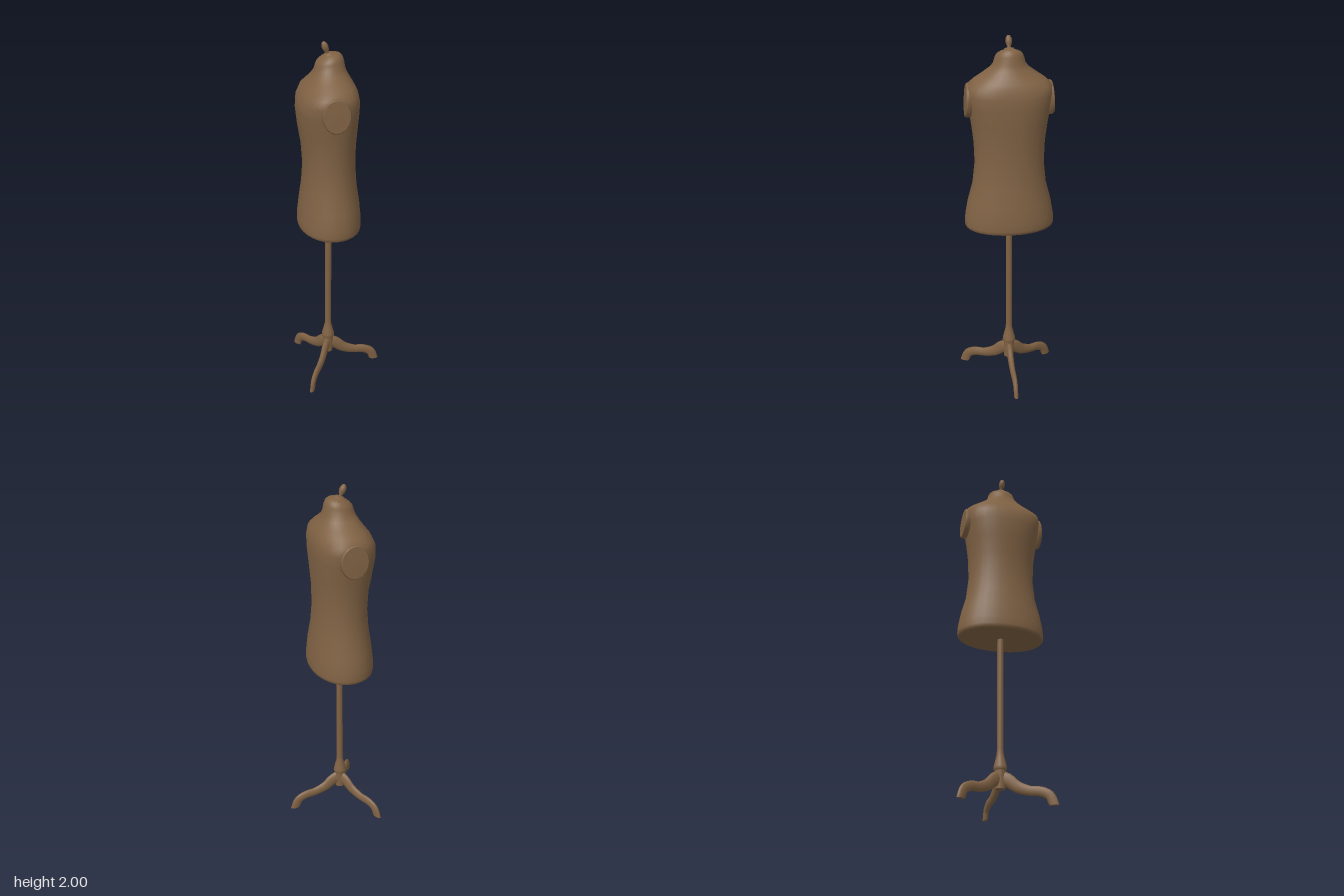
import * as THREE from 'three';

// Closed skin over a list of rings; each ring is an array of Vector3, ends are capped flat.
function loft(rings) {
  const n = rings[0].length, pos = [], index = [];
  rings.forEach(r => r.forEach(p => pos.push(p.x, p.y, p.z)));
  for (let i = 0; i < rings.length - 1; i++) {
    for (let j = 0; j < n; j++) {
      const k = (j + 1) % n, a = i * n + j, b = i * n + k;
      index.push(a, b, b + n, a, b + n, a + n);
    }
  }
  const cap = (ring, flip) => {
    const base = pos.length / 3, c = new THREE.Vector3();
    ring.forEach(p => { pos.push(p.x, p.y, p.z); c.addScaledVector(p, 1 / n); });
    pos.push(c.x, c.y, c.z);
    for (let j = 0; j < n; j++) {
      const k = (j + 1) % n;
      if (flip) index.push(base + n, base + k, base + j);
      else index.push(base + n, base + j, base + k);
    }
  };
  cap(rings[0], true);
  cap(rings[rings.length - 1], false);
  const g = new THREE.BufferGeometry();
  g.setAttribute('position', new THREE.Float32BufferAttribute(pos, 3));
  g.setIndex(index);
  g.computeVertexNormals();
  return g;
}

// Horizontal superellipse ring with its own front and back depth; tilt lowers the front.
function bodyRing([y, halfWidth, front, back, power = 2.1, tilt = 0]) {
  const ring = [], n = 32, e = 2 / power;
  for (let j = 0; j < n; j++) {
    const t = j / n * Math.PI * 2, s = Math.sin(t), c = Math.cos(t);
    const z = Math.sign(c) * Math.abs(c) ** e * (c > 0 ? front : back);
    ring.push(new THREE.Vector3(Math.sign(s) * Math.abs(s) ** e * halfWidth, y - tilt * z, z));
  }
  return ring;
}

// Curved leg running out along +z, with an oval section that thins toward the foot.
function legGeometry() {
  const path = new THREE.CatmullRomCurve3([
    [0, 0.158], [0.04, 0.147], [0.09, 0.108], [0.157, 0.083],
    [0.215, 0.076], [0.262, 0.052], [0.285, 0]
  ].map(([z, y]) => new THREE.Vector3(0, y, z)));
  const steps = 18, rings = [];
  for (let i = 0; i <= steps; i++) {
    const u = i / steps, p = path.getPoint(u);
    const t = i === steps ? new THREE.Vector3(0, -1, 0) : path.getTangent(u);
    const h = THREE.MathUtils.lerp(0.043, 0.027, Math.min(1, u * 2));
    const w = THREE.MathUtils.lerp(0.02, 0.012, u);
    const ring = [];
    for (let j = 0; j < 10; j++) {
      const a = j / 10 * Math.PI * 2, s = Math.sin(a) * h;
      ring.push(new THREE.Vector3(Math.cos(a) * w, Math.max(0, p.y + t.z * s), p.z - t.y * s));
    }
    rings.push(ring);
  }
  return loft(rings);
}

const lathe = (points, sides) =>
  new THREE.LatheGeometry(points.map(([r, y]) => new THREE.Vector2(r, y)), sides);

export function createModel() {
  const model = new THREE.Group();
  model.name = 'dressForm';
  const brown = new THREE.MeshStandardMaterial({ color: 0x806244 });
  brown.name = 'brown';

  // The form stands turned on its pole
  const stand = new THREE.Group();
  stand.name = 'turnedForm';
  stand.position.set(0.025, 0, -0.041);
  stand.rotation.y = THREE.MathUtils.degToRad(-48);
  model.add(stand);

  const add = (name, geometry, parent = stand) => {
    const mesh = new THREE.Mesh(geometry, brown);
    mesh.name = name;
    parent.add(mesh);
    return mesh;
  };

  // Torso and neck: height, half width, front depth, back depth, squareness, tilt
  add('torso', loft([
    [0.953, 0.234, 0.163, 0.163],
    [0.96, 0.242, 0.171, 0.171],
    [0.975, 0.245, 0.174, 0.174],
    [1.02, 0.242, 0.172, 0.173],
    [1.1, 0.227, 0.163, 0.165],
    [1.2, 0.2, 0.15, 0.15],
    [1.32, 0.187, 0.142, 0.14],
    [1.44, 0.191, 0.15, 0.141],
    [1.54, 0.203, 0.167, 0.147, 2.2],
    [1.64, 0.218, 0.177, 0.152, 2.4],
    [1.7, 0.225, 0.171, 0.151, 2.5],
    [1.745, 0.224, 0.15, 0.142, 2.4],
    [1.775, 0.192, 0.127, 0.128, 2.2],
    [1.805, 0.148, 0.106, 0.11],
    [1.835, 0.106, 0.088, 0.092],
    [1.86, 0.085, 0.08, 0.082, 2, 0.05],
    [1.89, 0.077, 0.074, 0.076, 2, 0.15],
    [1.908, 0.069, 0.067, 0.067, 2, 0.22],
    [1.92, 0.056, 0.054, 0.054, 2, 0.25]
  ].map(bodyRing)));

  // Flat oval armhole plates
  for (const side of [-1, 1]) {
    const plate = add(side > 0 ? 'leftArmPlate' : 'rightArmPlate',
      lathe([[0, -0.025], [1, -0.025], [1, 0.008], [0.94, 0.014], [0.94, 0.014], [0, 0.016]], 24));
    plate.scale.set(0.092, 1, 0.075);
    plate.rotation.z = -side * (Math.PI / 2 - 0.06);
    plate.position.set(side * 0.217, 1.667, 0.005);
  }

  // Neck cap and finial, leaning forward
  const top = new THREE.Group();
  top.name = 'neckTop';
  top.position.y = 1.918;
  top.rotation.x = 0.25;
  stand.add(top);
  add('neckCap', lathe([[0.054, -0.004], [0.05, 0.005], [0.035, 0.01], [0.028, 0.011],
    [0.024, 0.018], [0.012, 0.021], [0, 0.021]], 24), top);
  const finial = add('finial', lathe([[0.011, 0], [0.009, 0.012], [0.015, 0.026], [0.018, 0.042],
    [0.015, 0.058], [0.008, 0.069], [0, 0.072]], 16), top);
  finial.position.set(0, 0.013, 0.004);
  finial.rotation.x = 0.12;

  // Pole with flared foot and hub
  add('pole', lathe([[0, 0.1], [0.028, 0.1], [0.028, 0.1], [0.03, 0.2], [0.03, 0.2], [0.037, 0.205],
    [0.036, 0.22], [0.026, 0.26], [0.019, 0.29], [0.018, 0.32], [0.018, 0.96]], 16));

  // Three legs: one behind, two in front
  const leg = legGeometry();
  ['leftFrontLeg', 'backLeg', 'rightFrontLeg'].forEach((name, i) => {
    add(name, leg).rotation.y = Math.PI / 3 + i * Math.PI * 2 / 3;
  });

  return model;
}
